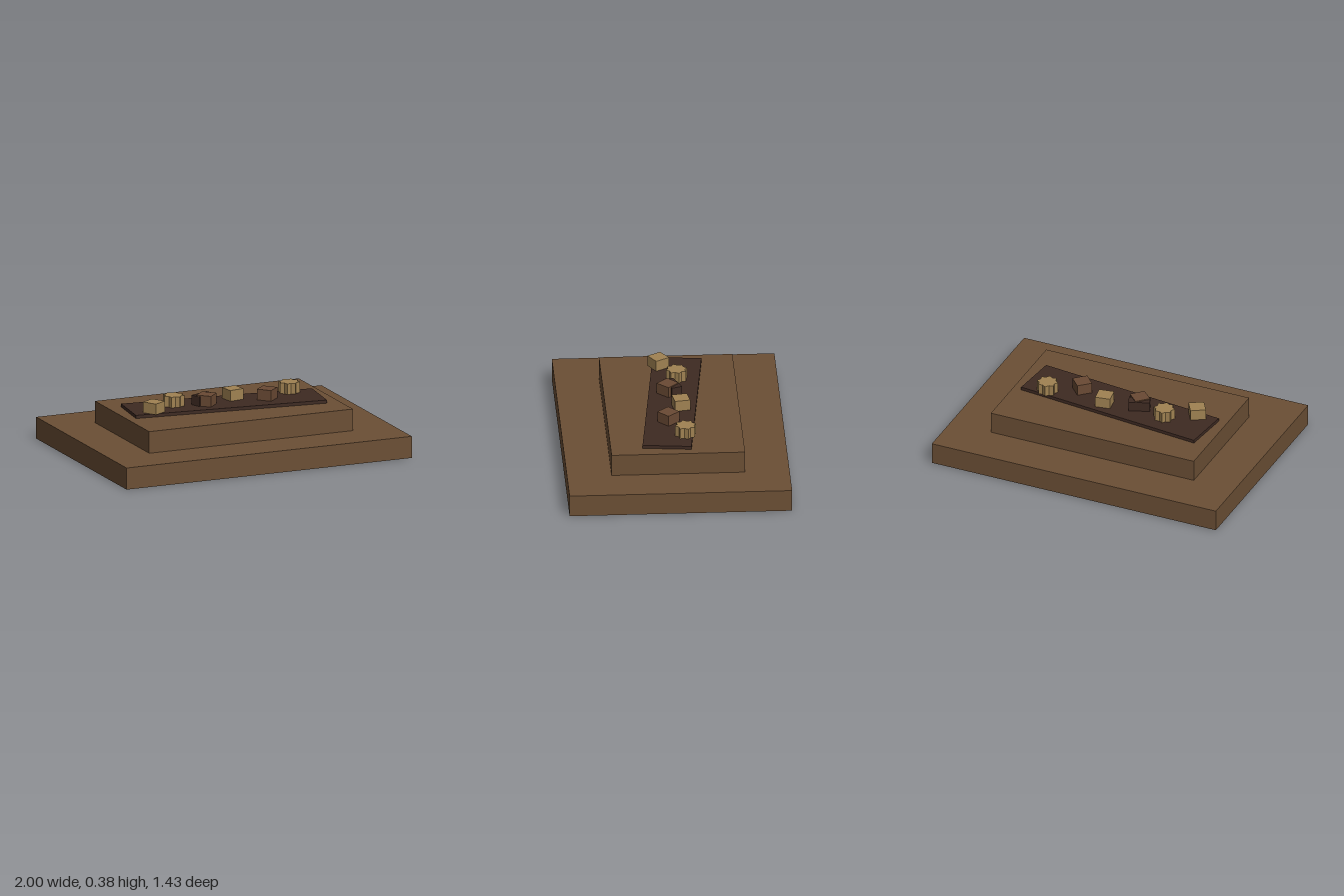
import * as THREE from 'three';

const paint = (name, color) => {
  const m = new THREE.MeshStandardMaterial({ color });
  m.name = name;
  return m;
};

export function createModel() {
  const group = new THREE.Group();
  const wood = paint('brown wood', 0x6b4f35);
  const dark = paint('dark wood', 0x3e2a22);
  const gold = paint('pale gold', 0xa08252);
  const russet = paint('russet brown', 0x6a4a34);

  const add = (name, geometry, material, x, y, z, turn = 0) => {
    const mesh = new THREE.Mesh(geometry, material);
    mesh.name = name;
    mesh.position.set(x, y, z);
    mesh.rotation.y = turn;
    group.add(mesh);
  };
  // Box whose origin is at the centre of its bottom face
  const block = (w, h, d) => new THREE.BoxGeometry(w, h, d).translate(0, h / 2, 0);

  // Stepped plinth and the slanted board on it
  add('base', block(2, 0.143, 1.429), wood, 0, 0, 0);
  add('upperStep', block(1.429, 0.143, 0.857), wood, 0, 0.143, 0);
  add('board', block(1.286, 0.021, 0.314), dark, 0, 0.286, 0, -0.107);

  // Eight-pointed star prism
  const points = [];
  for (let i = 0; i < 16; i++) {
    const r = i % 2 ? 0.054 : 0.07, a = (i * Math.PI) / 8;
    points.push(new THREE.Vector2(r * Math.cos(a), r * Math.sin(a)));
  }
  const star = new THREE.ExtrudeGeometry(new THREE.Shape(points), { depth: 0.071, bevelEnabled: false });
  star.rotateX(-Math.PI / 2);

  // Row of game pieces
  const cube = block(0.1, 0.071, 0.1);
  const top = 0.307;
  add('goldCube1', cube, gold, -0.517, top, 0.059, 0.55);
  add('goldStar1', star, gold, -0.333, top, -0.047, 0.2);
  add('brownCube1', cube, russet, -0.132, top, 0.02, 0.8);
  add('darkBlock', block(0.138, 0.064, 0.07), dark, -0.142, top, -0.012, 0.38);
  add('goldCube2', cube, gold, 0.084, top, -0.053, 0.16);
  add('brownCube2', cube, russet, 0.284, top, 0.04, 0.75);
  add('goldStar2', star, gold, 0.483, top, -0.06, 0.2);

  return group;
}
